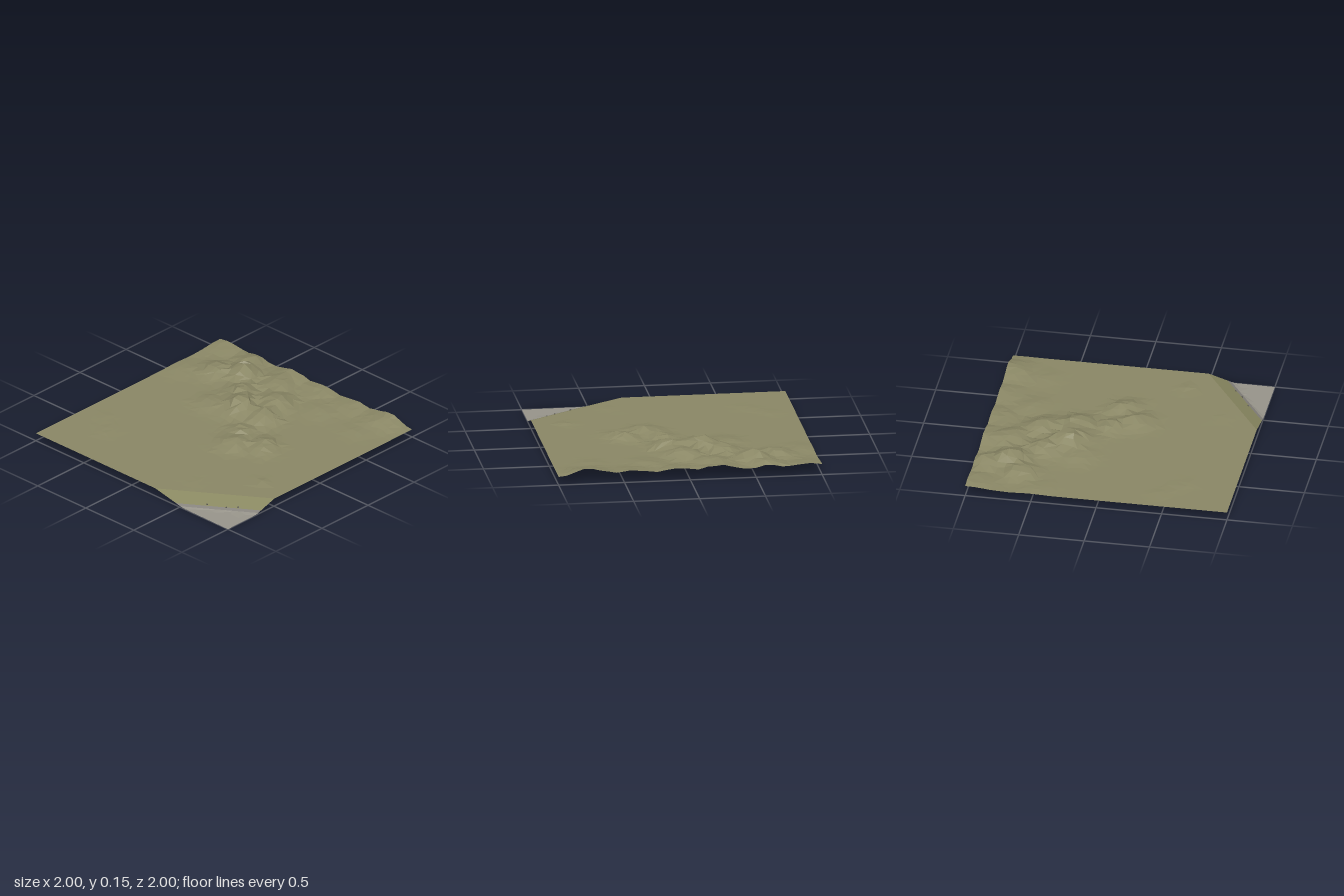
import * as THREE from 'three';

const BASE = 0.065, SEGS = 32;

// Small repeatable hash, giving -1..1
const noise = (i, j) => {
  const s = Math.sin(i * 127.1 + j * 311.7) * 43758.5453;
  return (s - Math.floor(s)) * 2 - 1;
};

// Hills: x, z, height, radius along the ridge, radius across it
const HILLS = [
  // northern ridge
  [-0.07, 0.2, 0.055, 0.13, 0.11], [0.09, 0.11, 0.045, 0.12, 0.1],
  [0.37, -0.16, 0.098, 0.16, 0.13], [0.53, -0.3, 0.068, 0.14, 0.12],
  [0.76, -0.5, 0.085, 0.16, 0.13], [0.92, -0.58, 0.055, 0.13, 0.12],
  // southern ridge
  [0.05, 0.39, 0.052, 0.13, 0.1], [0.36, 0.08, 0.078, 0.14, 0.12],
  [0.6, 0.0, 0.066, 0.16, 0.13], [0.82, -0.2, 0.055, 0.17, 0.14],
  // outlying slopes
  [0.65, -0.68, 0.06, 0.13, 0.12], [0.27, -0.35, 0.03, 0.15, 0.12],
  [0.5, -0.88, 0.015, 0.14, 0.12], [0.75, 0.3, 0.02, 0.15, 0.12],
  // eastern edge
  [1, 0.77, 0.057, 0.17, 0.15], [1, 0.45, 0.03, 0.16, 0.16],
  [1, 0.1, 0.035, 0.16, 0.16], [1, -0.2, 0.045, 0.16, 0.16],
  [1, -0.88, 0.03, 0.18, 0.18], [0.72, 0.72, 0.012, 0.14, 0.12],
  // low mounds on the plain
  [-0.37, 0.76, 0.013, 0.07, 0.07], [-0.58, -0.65, 0.007, 0.15, 0.1],
  [-0.45, -0.8, 0.006, 0.12, 0.1], [-0.72, 0.38, 0.005, 0.12, 0.08],
];

// Signed distance from the foot of the bank, positive on the grassland
const bankDistance = (x, z) => (x + 1) * 0.832 - (z - 0.46) * 0.555;

// Cross-section of the bank: distance, height
const BANK = [[-0.42, 0], [-0.04, 0.004], [0, 0.02], [0.12, BASE]];

function bankHeight(d) {
  for (let i = 1; i < BANK.length; i++) {
    const [d0, h0] = BANK[i - 1], [d1, h1] = BANK[i];
    if (d <= d1) return h0 + (h1 - h0) * Math.max(0, (d - d0) / (d1 - d0));
  }
  return BASE;
}

function hillHeight(x, z) {
  let top = 0;
  for (const [hx, hz, h, along, across] of HILLS) {
    const u = (x - hx) * 0.77 - (z - hz) * 0.63;
    const v = (x - hx) * 0.63 + (z - hz) * 0.77;
    const width = v > 0 ? across * 0.75 : across * 1.15; // steeper on the south-east
    const rise = h * Math.exp(-((u / along) ** 2) - (v / width) ** 2);
    top = Math.max(top, rise);
  }
  const rough = 1 + 0.14 * noise(Math.round(x * 400), Math.round(z * 400));
  return Math.max(0, top - 0.002) * rough;
}

const height = ([x, z]) => {
  const d = bankDistance(x, z);
  return d < 0.12 ? bankHeight(d) : BASE + hillHeight(x, z) * Math.min(1, (d - 0.12) / 0.05);
};

// Keep the part of a flat polygon where sign * (distance - limit) >= 0
function clip(poly, limit, sign) {
  const out = [];
  poly.forEach((a, i) => {
    const b = poly[(i + 1) % poly.length];
    const da = sign * (bankDistance(...a) - limit), db = sign * (bankDistance(...b) - limit);
    if (da >= 0) out.push(a);
    if (da * db < 0) {
      const t = da / (da - db);
      out.push([a[0] + (b[0] - a[0]) * t, a[1] + (b[1] - a[1]) * t]);
    }
  });
  return out;
}

// Jittered ground grid, straight along its outer edges
function gridPoint(i, j) {
  const step = 2 / SEGS, inner = (k) => (k > 0 && k < SEGS ? 0.28 * step : 0);
  return [
    -1 + i * step + inner(i) * noise(i, j),
    -1 + j * step + inner(j) * noise(i + 57, j + 13),
  ];
}

function groundTriangles() {
  const tris = [];
  for (let i = 0; i < SEGS; i++) {
    for (let j = 0; j < SEGS; j++) {
      const a = gridPoint(i, j), b = gridPoint(i, j + 1);
      const c = gridPoint(i + 1, j + 1), d = gridPoint(i + 1, j);
      if (noise(i + 5, j + 91) > 0) tris.push([a, b, c], [a, c, d]);
      else tris.push([a, b, d], [b, c, d]);
    }
  }
  return tris;
}

// One strip of ground between two distances from the bank
function groundBand(name, tris, from, to, color) {
  const pos = [];
  for (const tri of tris) {
    const poly = clip(clip(tri, from, 1), to, -1);
    for (let k = 1; k + 1 < poly.length; k++) {
      for (const p of [poly[0], poly[k], poly[k + 1]]) pos.push(p[0], height(p), p[1]);
    }
  }
  const geo = new THREE.BufferGeometry();
  geo.setAttribute('position', new THREE.Float32BufferAttribute(pos, 3));
  geo.computeVertexNormals();
  const mat = new THREE.MeshStandardMaterial({ color, flatShading: true, side: THREE.DoubleSide });
  const mesh = new THREE.Mesh(geo, mat);
  mesh.name = name;
  return mesh;
}

export function createModel() {
  const model = new THREE.Group();
  model.name = 'terrain';
  const tris = groundTriangles();

  model.add(
    groundBand('grassland', tris, 0.12, 9, 0x8b8866),
    groundBand('grassBank', tris, 0, 0.12, 0x888760),
    groundBand('stoneEdge', tris, -0.025, 0, 0x85827c),
    groundBand('lowerGround', tris, -9, -0.025, 0x98958b),
  );

  // Small stones along the edge
  const stoneMat = new THREE.MeshStandardMaterial({ color: 0x55534e, flatShading: true });
  for (const [x, z] of [[-0.86, 0.65], [-0.79, 0.78], [-0.73, 0.85]]) {
    const stone = new THREE.Mesh(new THREE.IcosahedronGeometry(0.007, 0), stoneMat);
    stone.name = 'edgeStone';
    stone.position.set(x, height([x, z]) + 0.002, z);
    model.add(stone);
  }
  return model;
}
